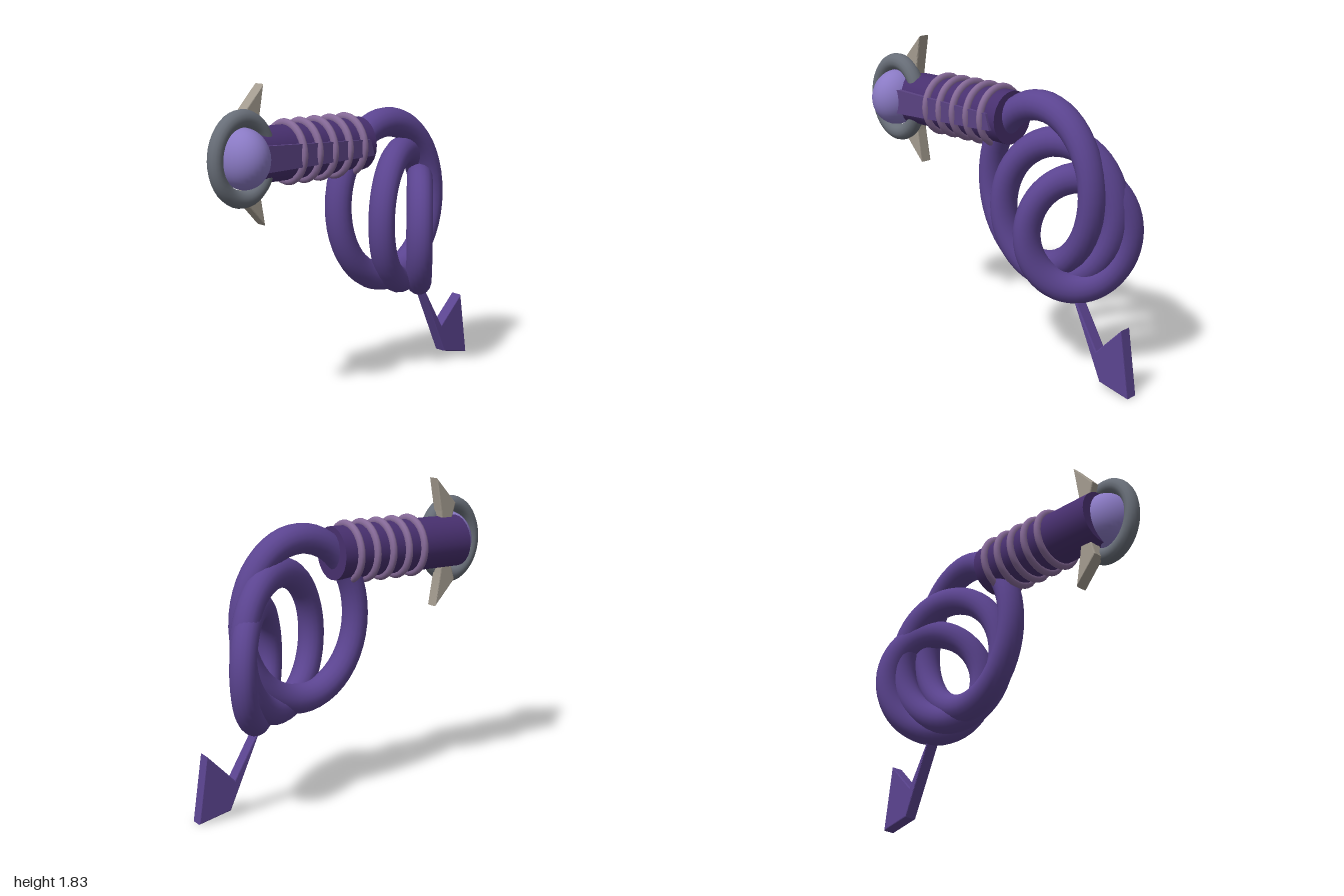
import * as THREE from 'three';

const SQUASH = 0.805; // every round part is narrowed along x
const AXIS_Y = 1.443; // height of the handle axis

const mat = (color, side = THREE.FrontSide) => new THREE.MeshStandardMaterial({ color, side });
const violet = mat(0x5b4490);
const darkViolet = mat(0x48306f);
const panelViolet = mat(0x5a4282);
const mauve = mat(0x866a98);
const steel = mat(0x686e78);
const bone = mat(0xa39b8f);
const lilac = mat(0x8a7ac4);

function add(parent, name, geometry, material, x = 0, y = 0, z = 0) {
  const mesh = new THREE.Mesh(geometry, material);
  mesh.name = name;
  mesh.position.set(x, y, z);
  parent.add(mesh);
  return mesh;
}

// Flat outline given thickness along z, with small bevelled edges
function plate(points, zBack, zFront, bevel) {
  const shape = new THREE.Shape(points.map(([x, y]) => new THREE.Vector2(x, y)));
  const geometry = new THREE.ExtrudeGeometry(shape, {
    depth: zFront - zBack - 2 * bevel,
    bevelEnabled: bevel > 0,
    bevelThickness: bevel,
    bevelSize: bevel,
    bevelOffset: -bevel,
    bevelSegments: 2,
  });
  return geometry.translate(0, 0, zBack + bevel);
}

export function createModel() {
  const model = new THREE.Group();
  model.name = 'coiledWhip';

  // Handle along x
  const rod = new THREE.CylinderGeometry(0.155, 0.155, 0.885, 24).rotateZ(Math.PI / 2);
  add(model, 'handle', rod, darkViolet, -0.3425, AXIS_Y, 0);

  // Tapered panel on the front of the handle
  const panel = [[-0.7, 1.37], [0.075, 1.39], [0.045, 1.485], [-0.7, 1.515]];
  add(model, 'handlePanel', plate(panel, 0.05, 0.166, 0), panelViolet);

  // Grip rings
  for (let i = 0; i < 5; i++) {
    const ring = new THREE.TorusGeometry(0.16, 0.026, 10, 32).rotateY(Math.PI / 2).scale(SQUASH, 1, 1);
    add(model, 'gripRing', ring, mauve, -0.44 + i * 0.11, AXIS_Y, 0);
  }

  // Pommel: an orb held in a ring
  const orb = new THREE.SphereGeometry(0.167, 32, 20).scale(SQUASH, 1, 1);
  add(model, 'pommelOrb', orb, lilac, -0.785, AXIS_Y + 0.003, 0.073);
  const pommelRing = new THREE.TorusGeometry(0.217, 0.05, 14, 40).scale(SQUASH, 1, 1);
  add(model, 'pommelRing', pommelRing, steel, -0.785, AXIS_Y, 0.06);

  // Spikes above and below the pommel
  for (const s of [1, -1]) {
    const spike = [[-0.617, 0.387], [-0.76, 0.232], [-0.72, 0.1], [-0.66, 0.1], [-0.65, 0.19]];
    if (s < 0) spike.reverse();
    const outline = spike.map(([x, y]) => [x, AXIS_Y + s * y]);
    add(model, 'spike', plate(outline, -0.038, 0.038, 0.008), bone);
  }

  // Coils: three hoops, each smaller, lower and turned further
  for (let i = 0; i < 3; i++) {
    const hoop = new THREE.TorusGeometry(0.465 - i * 0.071, 0.087, 18, 48)
      .rotateY(THREE.MathUtils.degToRad(20 * i))
      .scale(SQUASH, 1, 1);
    add(model, 'coil', hoop, violet, 0.315 + i * 0.142, 1.083 - i * 0.109, 0);
  }

  // Barbed tail tip on a thin stem
  const tip = [[0.59, 0.52], [0.8, 0.045], [1.0, 0.002], [0.942, 0.392], [0.772, 0.22], [0.62, 0.48]];
  add(model, 'tailTip', plate(tip, -0.039, 0.039, 0.007), violet);

  return model;
}
